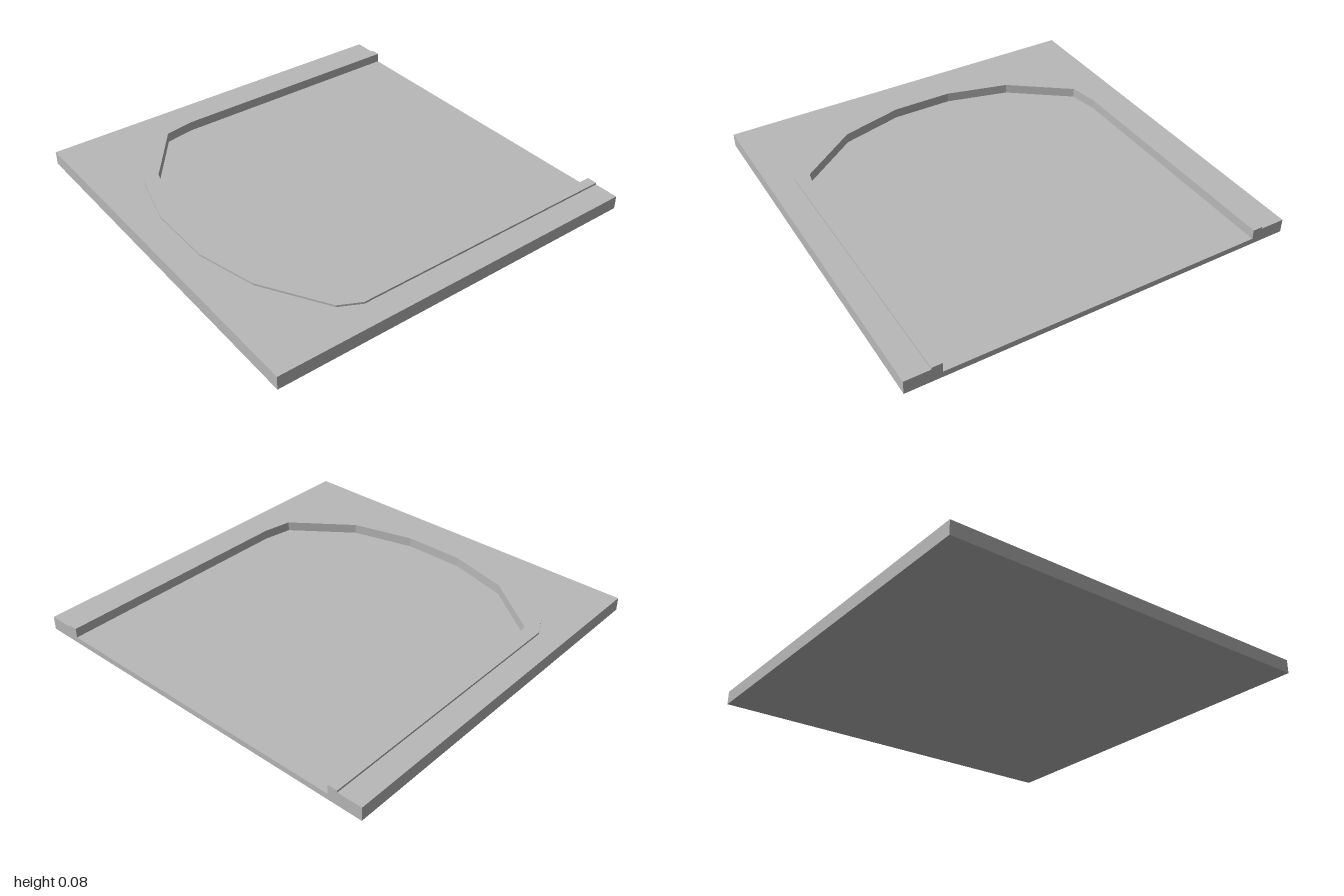
import * as THREE from 'three';

// Half outlines as [x, z], from the open back edge round to the front
const squareEdge = [[1, -1], [1, 1]];
const rimOuter = [[0.872, -1], [0.872, 0.46], [0.817, 0.57], [0.487, 0.77], [0.175, 0.85]];
const rimInner = [[0.82, -1], [0.82, 0.3], [0.793, 0.455], [0.487, 0.685], [0.16, 0.77]];

// Mirror a half outline into a full open U
const mirrored = (half) => [...half, ...half.slice().reverse().map(([x, z]) => [-x, z])];

// U-shaped slab between two outlines, from height y0 to y1
function uSlab(outer, inner, y0, y1) {
  const points = [...mirrored(outer), ...mirrored(inner).reverse()];
  const shape = new THREE.Shape(points.map(([x, z]) => new THREE.Vector2(x, z)));
  const geometry = new THREE.ExtrudeGeometry(shape, { depth: y1 - y0, bevelEnabled: false });
  return geometry.rotateX(Math.PI / 2).translate(0, y1, 0);
}

export function createModel() {
  const group = new THREE.Group();
  const grey = new THREE.MeshStandardMaterial({ color: 0xb8b8b8 });
  grey.name = 'grey';

  const floorTop = 0.03, groundTop = 0.07, rimTop = 0.08;
  const add = (name, geometry) => {
    const mesh = new THREE.Mesh(geometry, grey);
    mesh.name = name;
    group.add(mesh);
  };

  // Sunken floor, open at the back
  add('floor', new THREE.BoxGeometry(2, floorTop, 2).translate(0, floorTop / 2, 0));
  // Raised ground around the basin
  add('surround', uSlab(squareEdge, rimInner, floorTop, groundTop));
  // Slightly proud kerb along the basin edge
  add('rim', uSlab(rimOuter, rimInner, groundTop, rimTop));

  return group;
}
